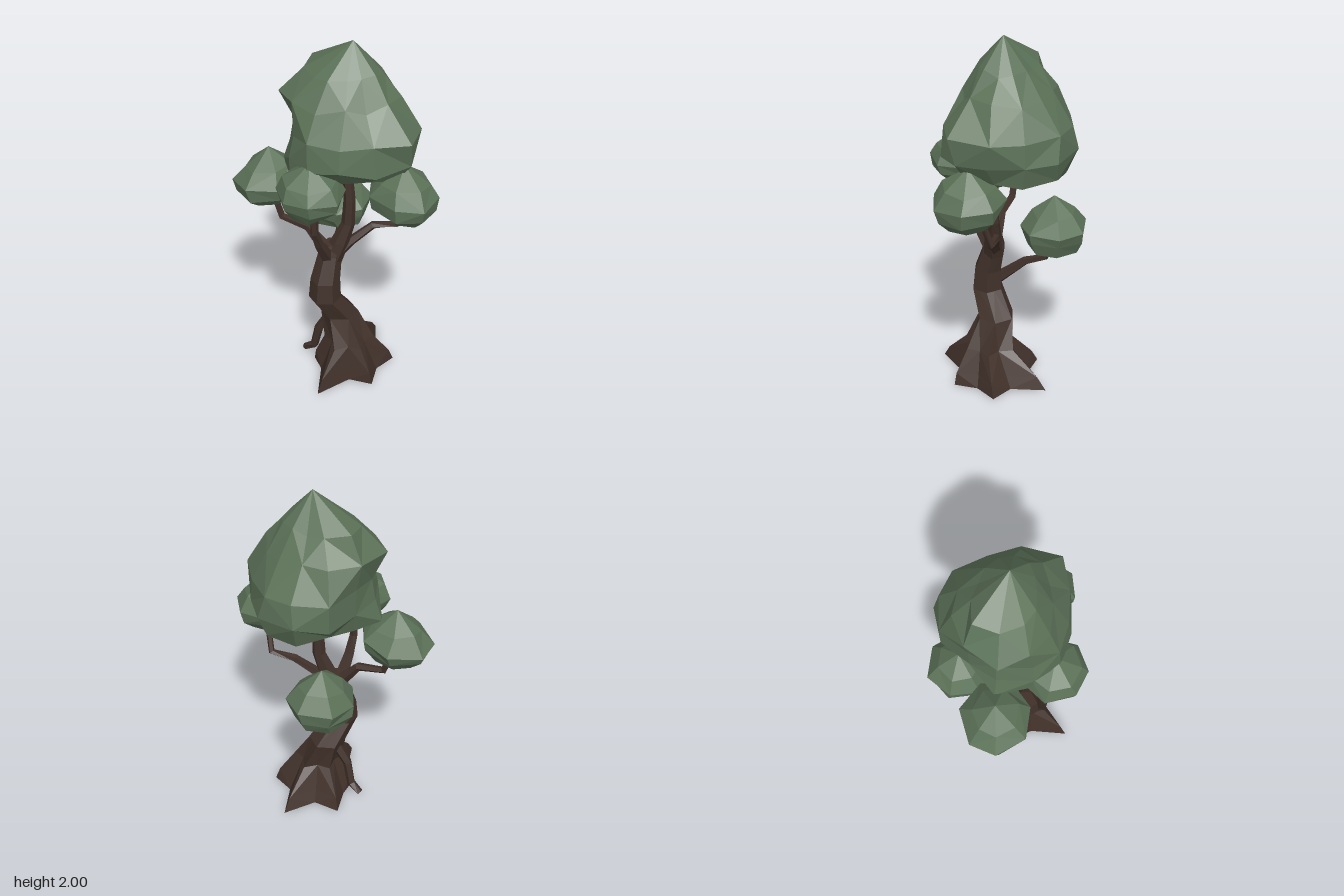
import * as THREE from 'three';

const V = (x, y, z) => new THREE.Vector3(x, y, z);

// Seeded random in -1..1
function seeded(seed) {
  let s = seed;
  return () => {
    s = (s * 16807) % 2147483647;
    return (s / 2147483647) * 2 - 1;
  };
}

// Faceted skin over closed rings from low to high, closed at the two end points
function loft(rings, low, high) {
  const pos = [];
  const tri = (...pts) => pts.forEach((p) => pos.push(p.x, p.y, p.z));
  const n = rings[0].length;
  const last = rings.length - 1;
  for (let j = 0; j < n; j++) {
    const k = (j + 1) % n;
    tri(low, rings[0][j], rings[0][k]);
    for (let i = 0; i < last; i++) {
      const a = rings[i][j], b = rings[i + 1][j], c = rings[i + 1][k], d = rings[i][k];
      if ((i + j) % 2) { tri(a, b, c); tri(a, c, d); } else { tri(a, b, d); tri(b, c, d); }
    }
    tri(high, rings[last][k], rings[last][j]);
  }
  const geo = new THREE.BufferGeometry();
  geo.setAttribute('position', new THREE.Float32BufferAttribute(pos, 3));
  geo.computeVertexNormals();
  return geo;
}

// Tapered, angular limb through a few points [x, y, z, radius]
function limb(points, sides = 6) {
  const path = points.map((p) => V(p[0], p[1], p[2]));
  const rings = path.map((p, i) => {
    const t = path[Math.min(i + 1, path.length - 1)].clone().sub(path[Math.max(i - 1, 0)]).normalize();
    const u = V(0.6, 0.1, 0.8);
    u.addScaledVector(t, -u.dot(t)).normalize();
    const v = u.clone().cross(t);
    return Array.from({ length: sides }, (_, j) => {
      const a = (j / sides) * Math.PI * 2;
      return p.clone().addScaledVector(u, Math.cos(a) * points[i][3]).addScaledVector(v, Math.sin(a) * points[i][3]);
    });
  });
  return loft(rings, path[0], path[path.length - 1]);
}

// Trunk with six root ridges flaring at the ground
function trunkGeometry() {
  const tips = [0.26, 0.26, 0.355, 0.2, 0.28, 0.335];
  const levels = [ // y, centre x, centre z, radius, root flare, valley factor
    [0.0, 0.08, 0.05, 0.19, 1, 0.98],
    [0.07, 0.08, 0.06, 0.165, 0.74, 0.95],
    [0.2, 0.08, 0.08, 0.125, 0.14, 0.84],
    [0.36, 0.025, 0.055, 0.105, 0, 0.86],
    [0.5, -0.047, 0.12, 0.09, 0, 0.88],
    [0.62, -0.045, 0.115, 0.082, 0, 0.88],
    [0.77, -0.025, 0.075, 0.066, 0, 0.88],
    [0.84, -0.01, 0.07, 0.048, 0, 0.88],
  ];
  const rings = levels.map(([y, cx, cz, r, flare, valley]) =>
    Array.from({ length: 12 }, (_, j) => {
      const a = ((j * 30 - 10) * Math.PI) / 180;
      const d = j % 2 ? r * valley : r + (tips[j / 2] - r) * flare;
      return V(cx + Math.cos(a) * d, y, cz + Math.sin(a) * d);
    }));
  return loft(rings, V(0.08, 0, 0.05), V(-0.01, 0.84, 0.07));
}

// Small peaked leaf clump: base and shoulder set its fullness, tilt lifts the +x side
function clumpGeometry({ x, z, y0, y1, rx, rz, turn, base, shoulder, tilt, seed }) {
  const rnd = seeded(seed);
  const h = y1 - y0;
  const sides = 7;
  const rings = [[0.07, base], [0.26, 0.93], [0.46, 1.01], [0.7, shoulder]].map(([t, s]) =>
    Array.from({ length: sides }, (_, j) => {
      const a = (turn * Math.PI) / 180 + ((j + rnd() * 0.08) / sides) * Math.PI * 2;
      const d = s * (1 + rnd() * 0.04);
      const y = y0 + h * (t + rnd() * 0.04) + tilt * s * Math.cos(a);
      return V(x + Math.cos(a) * rx * d, y, z + Math.sin(a) * rz * d);
    }));
  return loft(rings, V(x, y0, z), V(x, y1, z));
}

// Large pointed crown: radius every 30 degrees, starting at +x and turning to +z
function crownGeometry() {
  const rnd = seeded(77);
  const levels = [
    [1.265, [0.17, 0.17, 0.14, 0.12, 0.15, 0.2, 0.22, 0.17, 0.17, 0.2, 0.22, 0.18]],
    [1.31, [0.28, 0.29, 0.25, 0.23, 0.25, 0.33, 0.36, 0.27, 0.28, 0.33, 0.35, 0.31]],
    [1.41, [0.34, 0.38, 0.34, 0.32, 0.34, 0.34, 0.32, 0.3, 0.36, 0.39, 0.38, 0.34]],
    [1.55, [0.365, 0.4, 0.32, 0.3, 0.33, 0.31, 0.3, 0.3, 0.36, 0.36, 0.36, 0.33]],
    [1.71, [0.26, 0.24, 0.21, 0.21, 0.265, 0.31, 0.37, 0.33, 0.29, 0.25, 0.25, 0.25]],
    [1.84, [0.17, 0.15, 0.13, 0.13, 0.17, 0.2, 0.24, 0.26, 0.19, 0.15, 0.15, 0.16]],
  ];
  const rings = levels.map(([y, radii]) => radii.map((r, j) => {
    const a = ((j * 30 + rnd() * 3) * Math.PI) / 180;
    return V(0.07 + Math.cos(a) * r, y + rnd() * 0.02, Math.sin(a) * r);
  }));
  return loft(rings, V(0.07, 1.26, 0), V(0.08, 2, 0));
}

export function createModel() {
  const bark = new THREE.MeshStandardMaterial({ color: 0x41312a });
  bark.name = 'bark';
  const leaf = new THREE.MeshStandardMaterial({ color: 0x5c7258 });
  leaf.name = 'leaf';

  const tree = new THREE.Group();
  tree.name = 'tree';
  const add = (name, geo, mat) => {
    const mesh = new THREE.Mesh(geo, mat);
    mesh.name = name;
    tree.add(mesh);
  };

  // Trunk, side root and branches
  add('trunk', trunkGeometry(), bark);
  add('sideRoot', limb([[-0.02, 0.33, 0.06, 0.035], [-0.1, 0.2, 0.05, 0.027], [-0.13, 0.06, 0.03, 0.025], [-0.19, 0.012, 0.01, 0.02]], 5), bark);
  add('crownBranch', limb([[-0.015, 0.74, 0.075, 0.06], [0.03, 0.85, 0.07, 0.05], [0.072, 0.97, 0.06, 0.037], [0.078, 1.12, 0.06, 0.032], [0.06, 1.32, 0.05, 0.028]]), bark);
  add('frontBranch', limb([[-0.03, 0.74, 0.09, 0.042], [-0.065, 0.9, 0.19, 0.028], [-0.078, 1.0, 0.235, 0.023], [-0.078, 1.2, 0.24, 0.019]], 5), bark);
  add('rightBranch', limb([[-0.02, 0.76, 0.08, 0.042], [-0.15, 0.92, 0.06, 0.025], [-0.3, 0.95, 0.03, 0.02], [-0.35, 1.1, 0.02, 0.018]], 5), bark);
  add('leftBranch', limb([[0.0, 0.76, 0.07, 0.042], [0.08, 0.84, 0.05, 0.028], [0.2, 0.94, 0.015, 0.022], [0.33, 0.96, 0.01, 0.019], [0.365, 1.13, 0.06, 0.017]], 5), bark);
  add('backBranch', limb([[-0.05, 0.54, 0.08, 0.037], [-0.035, 0.69, -0.1, 0.024], [-0.025, 0.73, -0.21, 0.02], [-0.025, 0.84, -0.26, 0.016]], 5), bark);

  // Foliage
  add('crownFoliage', crownGeometry(), leaf);
  add('rightFoliage', clumpGeometry({ x: -0.365, z: 0.01, y0: 1.045, y1: 1.37, rx: 0.195, rz: 0.185, turn: 62, base: 0.6, shoulder: 0.66, tilt: 0.025, seed: 11 }), leaf);
  add('leftFoliage', clumpGeometry({ x: 0.37, z: 0.12, y0: 1.075, y1: 1.4, rx: 0.185, rz: 0.19, turn: -4, base: 0.6, shoulder: 0.74, tilt: -0.02, seed: 23 }), leaf);
  add('frontFoliage', clumpGeometry({ x: -0.09, z: 0.265, y0: 1.135, y1: 1.44, rx: 0.18, rz: 0.175, turn: 30, base: 0.65, shoulder: 0.8, tilt: 0, seed: 37 }), leaf);
  add('backFoliage', clumpGeometry({ x: -0.035, z: -0.255, y0: 0.775, y1: 1.105, rx: 0.185, rz: 0.185, turn: 34, base: 0.77, shoulder: 0.66, tilt: 0, seed: 59 }), leaf);

  return tree;
}
